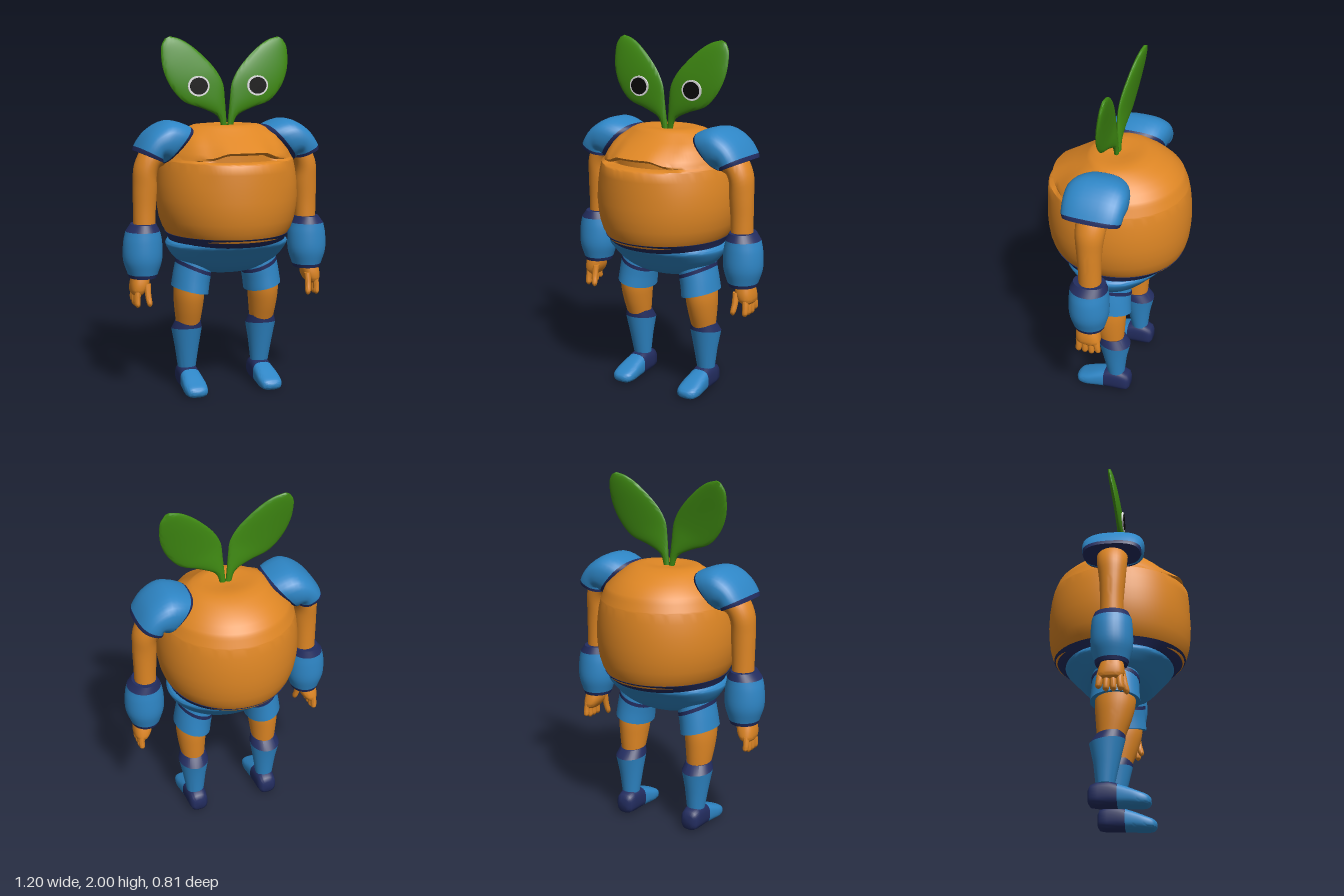
import * as THREE from 'three';
import { toCreasedNormals } from 'three/addons/utils/BufferGeometryUtils.js';

const V = (x, y, z) => new THREE.Vector3(x, y, z);
const mat = (name, color) => {
  const m = new THREE.MeshStandardMaterial({ color });
  m.name = name;
  return m;
};

// Superellipse ring around c with half axes u and v; n = 2 is an ellipse, more is squarer
function ring(c, u, v, n = 2, seg = 32) {
  const f = (t) => Math.sign(t) * Math.pow(Math.abs(t), 2 / n);
  return Array.from({ length: seg }, (_, i) => {
    const a = (i / seg) * Math.PI * 2;
    return c.clone().addScaledVector(u, f(Math.cos(a))).addScaledVector(v, f(Math.sin(a)));
  });
}
// Ring across the xy segment (x0,y0)-(x1,y1), at depth z with half depth rz
const across = (s, [x0, y0, x1, y1, z, rz], n, seg) =>
  ring(V(s * (x0 + x1) / 2, (y0 + y1) / 2, z), V(s * (x1 - x0) / 2, (y1 - y0) / 2, 0), V(0, 0, rz), n, seg);
// Upright ring facing z, used along the foot
const upright = (s, [z, x, rx, y0, y1]) =>
  ring(V(s * x, (y0 + y1) / 2, z), V(rx, 0, 0), V(0, (y1 - y0) / 2, 0), 2.8);

// Adds in-between rings along smooth curves
function smooth(rings, k = 4) {
  const cols = rings[0].map((_, i) => new THREE.CatmullRomCurve3(rings.map((r) => r[i])));
  const steps = (rings.length - 1) * k;
  return Array.from({ length: steps + 1 }, (_, j) => cols.map((c) => c.getPoint(j / steps)));
}

// Closed skin over rings, capped at both ends and always facing outwards
function loft(rings, crease = 0.9) {
  const n = rings[0].length, pts = rings.flat(), idx = [];
  for (let j = 0; j < rings.length - 1; j++) {
    for (let i = 0; i < n; i++) {
      const a = j * n + i, b = j * n + (i + 1) % n;
      idx.push(a, b, b + n, a, b + n, a + n);
    }
  }
  [0, rings.length - 1].forEach((j) => {
    const mid = rings[j].reduce((s, p) => s.add(p), V(0, 0, 0)).divideScalar(n);
    const c = pts.push(mid) - 1;
    for (let i = 0; i < n; i++) {
      const a = j * n + i, b = j * n + (i + 1) % n;
      if (j) idx.push(c, a, b); else idx.push(c, b, a);
    }
  });
  let volume = 0;
  for (let t = 0; t < idx.length; t += 3) {
    volume += pts[idx[t]].dot(pts[idx[t + 1]].clone().cross(pts[idx[t + 2]]));
  }
  if (volume < 0) idx.reverse();
  const g = new THREE.BufferGeometry().setFromPoints(pts);
  g.setIndex(idx);
  return toCreasedNormals(g, crease);
}

export function createModel() {
  const model = new THREE.Group();
  model.name = 'fruitFigure';
  const orange = mat('orange skin', 0xde8624), blue = mat('blue cloth', 0x2e86c6);
  const navy = mat('navy trim', 0x232d60), green = mat('leaf green', 0x3f8a12);
  const white = mat('eye white', 0xe4e4e4), black = mat('pupil black', 0x0a0a0a);
  const add = (name, material, geometry) => {
    const m = new THREE.Mesh(geometry, material);
    m.name = name;
    model.add(m);
    return m;
  };
  const step = THREE.MathUtils.smoothstep;

  // Round body with a wide mouth: [y, rx, rz, front z at the mouth, droop of the upper lip]
  const bodyRows = [
    [0.90, 0.33, 0.355], [0.92, 0.343, 0.366], [0.95, 0.362, 0.38], [1.0, 0.38, 0.393], [1.06, 0.391, 0.4],
    [1.12, 0.397, 0.403], [1.2, 0.393, 0.4], [1.27, 0.384, 0.392, 0.398], [1.32, 0.373, 0.382, 0.393],
    [1.328, 0.371, 0.38, 0.385], [1.33, 0.37, 0.379, 0.3], [1.368, 0.356, 0.365, 0.3, 0.03],
    [1.372, 0.354, 0.363, 0.355, 0.03], [1.385, 0.349, 0.358, 0.368, 0.03], [1.4, 0.34, 0.348, 0.343, 0.025],
    [1.43, 0.31, 0.318, 0.292, 0.01], [1.46, 0.278, 0.282, 0.24], [1.5, 0.225, 0.205, 0.175],
    [1.515, 0.19, 0.155], [1.52, 0.13, 0.11], [1.505, 0.05, 0.05],
  ];
  add('body', orange, loft(bodyRows.map(([y, rx, rz, front = rz, droop = 0]) =>
    ring(V(0, y, 0), V(rx, 0, 0), V(0, 0, rz), 2, 96).map((p) => {
      if (p.z <= 0) return p;
      const x = Math.abs(p.x), w = 1 - step(x, 0.16, 0.27);
      p.y -= droop * step(x, 0.09, 0.2) * step(p.z, 0, 0.2);
      p.z += (front - rz) * w;
      return p;
    }))));

  // Waist and trunks: [y, rx, rz]
  const flat = (rows) => rows.map(([y, rx, rz]) => ring(V(0, y, 0), V(rx, 0, 0), V(0, 0, rz), 2, 64));
  add('belt', navy, loft(flat([[0.865, 0.325, 0.305], [0.89, 0.333, 0.34], [0.92, 0.348, 0.37]])));
  add('trunks', blue, loft(smooth(flat([[0.878, 0.335, 0.31], [0.86, 0.35, 0.3], [0.82, 0.335, 0.262],
    [0.77, 0.295, 0.215], [0.73, 0.235, 0.17], [0.695, 0.15, 0.1], [0.682, 0.06, 0.04]]))));

  for (const s of [1, -1]) {
    const side = s > 0 ? 'left' : 'right';
    const limb = (name, material, rows, n, k = 4) =>
      add(side + name, material, loft(smooth(rows.map((r) => across(s, r, n)), k)));

    // Leaf with an eye
    limb('Leaf', green, [
      [0, 1.5, 0.03, 1.49, 0.012, 0.012], [0.008, 1.58, 0.055, 1.56, 0.015, 0.015],
      [0.015, 1.66, 0.14, 1.605, 0.018, 0.018], [0.025, 1.74, 0.25, 1.645, 0.018, 0.018],
      [0.06, 1.81, 0.32, 1.72, 0.012, 0.02], [0.12, 1.88, 0.36, 1.81, 0, 0.02],
      [0.2, 1.95, 0.37, 1.89, -0.014, 0.018], [0.26, 1.985, 0.365, 1.95, -0.024, 0.014],
      [0.315, 2, 0.345, 1.985, -0.03, 0.008],
    ]);
    const disc = (name, material, r, z) => {
      const m = add(side + name, material, new THREE.CylinderGeometry(r, r, 0.008, 32).rotateX(Math.PI / 2));
      m.scale.x = 1.1;
      m.position.set(s * 0.172, 1.73, z);
    };
    disc('EyeWhite', white, 0.056, 0.036);
    disc('Pupil', black, 0.046, 0.039);

    // Shoulder pad, fanned from the body edge down to the arm opening
    const pad = smooth([
      [0.385, 1.31, 0.205, 1.495, 0, 0.14], [0.39, 1.315, 0.225, 1.512, 0, 0.158],
      [0.39, 1.33, 0.345, 1.545, 0, 0.172], [0.39, 1.34, 0.455, 1.49, 0, 0.168],
      [0.385, 1.335, 0.52, 1.405, 0, 0.162], [0.385, 1.32, 0.528, 1.382, 0, 0.155],
    ].map((r) => across(s, r, 2.6)));
    add(side + 'PadInnerTrim', navy, loft(pad.slice(0, 5)));
    add(side + 'ShoulderPad', blue, loft(pad.slice(4, 17)));
    add(side + 'PadOuterTrim', navy, loft(pad.slice(16)));

    // Arm and cuff
    limb('Arm', orange, [
      [0.33, 1.3, 0.34, 1.45, 0, 0.08], [0.39, 1.29, 0.46, 1.42, 0, 0.085], [0.408, 1.25, 0.53, 1.31, 0.003, 0.08],
      [0.408, 1.17, 0.541, 1.19, 0.005, 0.07], [0.415, 1.06, 0.541, 1.06, 0.003, 0.063],
      [0.42, 0.94, 0.54, 0.94, 0.002, 0.062],
    ]);
    limb('CuffTopTrim', navy, [[0.415, 0.98, 0.555, 0.98, 0.003, 0.09], [0.395, 0.94, 0.585, 0.94, 0.005, 0.105]], 2, 1);
    limb('Cuff', blue, [
      [0.395, 0.94, 0.585, 0.94, 0.005, 0.105], [0.383, 0.88, 0.598, 0.88, 0.005, 0.11],
      [0.383, 0.78, 0.6, 0.78, 0.005, 0.11], [0.408, 0.7, 0.575, 0.7, 0.005, 0.09],
    ]);
    limb('CuffBottomTrim', navy, [[0.408, 0.7, 0.575, 0.7, 0.005, 0.09], [0.415, 0.68, 0.568, 0.68, 0.005, 0.083]], 2, 1);

    // Hand with four fingers and a thumb
    limb('Palm', orange, [
      [0.455, 0.7, 0.555, 0.7, 0.01, 0.055], [0.462, 0.64, 0.565, 0.64, 0.005, 0.068],
      [0.485, 0.6, 0.562, 0.6, 0, 0.066], [0.5, 0.585, 0.55, 0.585, 0, 0.05],
    ], 2.5);
    const finger = (name, x, y, z, dx, dz, len) => limb(name, orange, [
      [x - 0.018, y, x + 0.018, y, z, 0.019], [x - 0.014 + dx * 0.5, y - len / 2, x + 0.02 + dx * 0.5, y - len / 2, z + dz / 2, 0.018],
      [x - 0.014 + dx, y - len * 0.9, x + 0.014 + dx, y - len * 0.9, z + dz, 0.015],
      [x - 0.005 + dx, y - len, x + 0.005 + dx, y - len, z + dz, 0.005],
    ]);
    for (let i = 0; i < 4; i++) {
      finger('Finger' + (i + 1), 0.53, 0.62, 0.048 - i * 0.032, 0.005, 0.008 - i * 0.006, i === 3 ? 0.085 : 0.1);
    }
    finger('Thumb', 0.478, 0.65, 0.055, -0.005, 0.025, 0.125);

    // Trouser leg with a slanted stripe
    limb('TrouserLeg', blue, [
      [0.115, 0.565, 0.32, 0.615, -0.005, 0.135], [0.108, 0.62, 0.308, 0.69, -0.005, 0.13],
      [0.1, 0.665, 0.296, 0.748, -0.005, 0.128],
    ]);
    limb('TrouserStripe', navy, [
      [0.1, 0.665, 0.296, 0.748, -0.005, 0.131], [0.098, 0.685, 0.294, 0.77, -0.005, 0.131],
    ], 2, 1);
    limb('TrouserTop', blue, [
      [0.098, 0.685, 0.294, 0.77, -0.005, 0.128], [0.09, 0.72, 0.29, 0.82, -0.005, 0.125],
    ], 2, 1);

    // Bare knee and tall boot
    limb('Knee', orange, [
      [0.14, 0.64, 0.305, 0.64, 0, 0.11], [0.138, 0.56, 0.308, 0.56, -0.004, 0.108],
      [0.145, 0.48, 0.302, 0.48, -0.012, 0.095], [0.155, 0.39, 0.29, 0.39, -0.025, 0.075],
    ]);
    const shear = (r, d) => across(s, r).map((p) => { p.y += d * (p.z + 0.04); return p; });
    const bootTop = shear([0.138, 0.36, 0.312, 0.36, -0.045, 0.095], 0.12);
    add(side + 'BootTrim', navy, loft([shear([0.15, 0.405, 0.295, 0.405, -0.027, 0.078], 0.1), bootTop]));
    add(side + 'Boot', blue, loft([bootTop, shear([0.155, 0.25, 0.292, 0.25, -0.048, 0.07], 0.05),
      shear([0.17, 0.13, 0.274, 0.13, -0.055, 0.05], 0)]));

    // Shoe: navy heel and blue toe
    add(side + 'Heel', navy, loft([
      [-0.142, 0.22, 0.035, 0.03, 0.1], [-0.13, 0.22, 0.05, 0.012, 0.125], [-0.09, 0.22, 0.056, 0.005, 0.142],
      [-0.03, 0.22, 0.058, 0.005, 0.142], [0.01, 0.22, 0.06, 0.005, 0.128],
    ].map((r) => upright(s, r))));
    add(side + 'Toe', blue, loft(smooth([
      [0.01, 0.22, 0.06, 0.005, 0.126], [0.06, 0.221, 0.064, 0.003, 0.108], [0.12, 0.222, 0.066, 0, 0.083],
      [0.165, 0.222, 0.055, 0.005, 0.063], [0.182, 0.222, 0.03, 0.018, 0.048],
    ].map((r) => upright(s, r)))));
  }
  return model;
}
